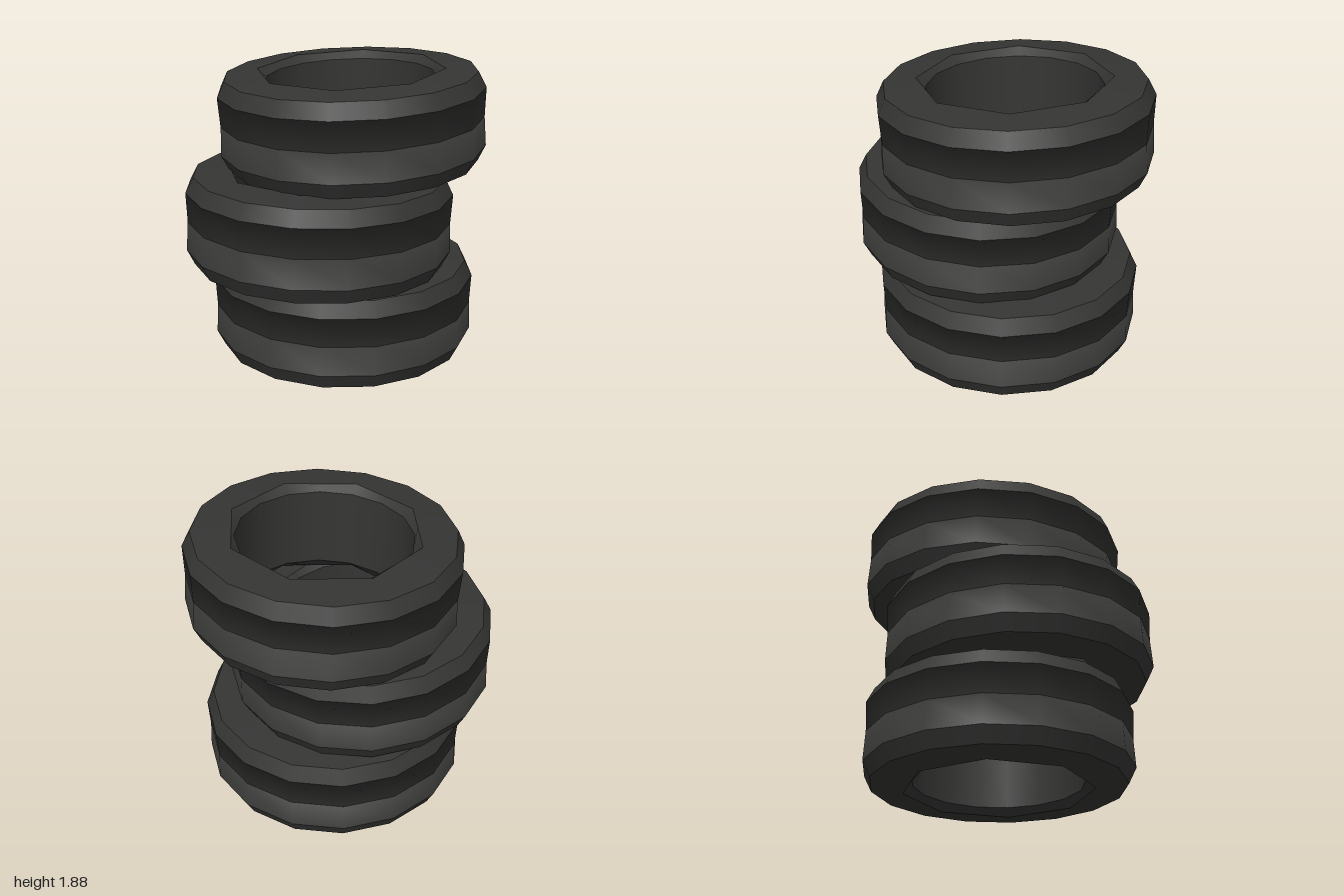
import * as THREE from 'three';
import { mergeGeometries } from 'three/addons/utils/BufferGeometryUtils.js';

const SIDES = 16;
const RIM = 0.61;

// Closed tyre section [radius, height]: up the tread, then down the bore
const SECTION = [
  [RIM, -0.31], [0.815, -0.29], [0.865, -0.19], [0.855, 0], [0.865, 0.19],
  [0.815, 0.29], [RIM, 0.31], [0.55, 0.26], [0.55, -0.26], [RIM, -0.31],
];

// One ring of faces between two section points, smooth around, creased at its edges
function band(a, b) {
  const geo = new THREE.LatheGeometry([new THREE.Vector2(...a), new THREE.Vector2(...b)], SIDES);
  const pos = geo.attributes.position;
  const normal = geo.attributes.normal;
  const isTread = a[1] === 0 || b[1] === 0;
  for (let i = 0; i < pos.count; i++) {
    // Pull every second rim vertex inwards so the opening is eight-sided
    const r = Math.hypot(pos.getX(i), pos.getZ(i));
    const odd = Math.floor(i / 2) % 2 === 1;
    if (Math.abs(r - RIM) < 0.001 && odd) {
      const k = Math.cos(Math.PI / 8);
      pos.setX(i, pos.getX(i) * k);
      pos.setZ(i, pos.getZ(i) * k);
    }
    // Lean the tread normals towards the groove so it reads as a soft V
    if (isTread) {
      const lean = a[1] === 0 ? -0.4 : 0.4;
      const n = new THREE.Vector3(normal.getX(i), lean, normal.getZ(i)).normalize();
      normal.setXYZ(i, n.x, n.y, n.z);
    }
  }
  return geo;
}

export function createModel() {
  const group = new THREE.Group();
  group.name = 'tyreStack';
  const rubber = new THREE.MeshStandardMaterial({ color: 0x353634 });

  const bands = [];
  for (let i = 0; i < SECTION.length - 1; i++) bands.push(band(SECTION[i], SECTION[i + 1]));
  const tyre = mergeGeometries(bands);

  // Three tyres, shifted sideways and slightly tilted: name, x, y, tilt in degrees
  const stack = [
    ['bottomTyre', 0.06, 0.31, 0],
    ['middleTyre', -0.135, 0.915, -1.2],
    ['topTyre', 0.127, 1.543, 2.5],
  ];
  for (const [name, x, y, tilt] of stack) {
    const mesh = new THREE.Mesh(tyre, rubber);
    mesh.name = name;
    mesh.position.set(x, y, 0);
    mesh.rotation.z = THREE.MathUtils.degToRad(tilt);
    group.add(mesh);
  }
  return group;
}
